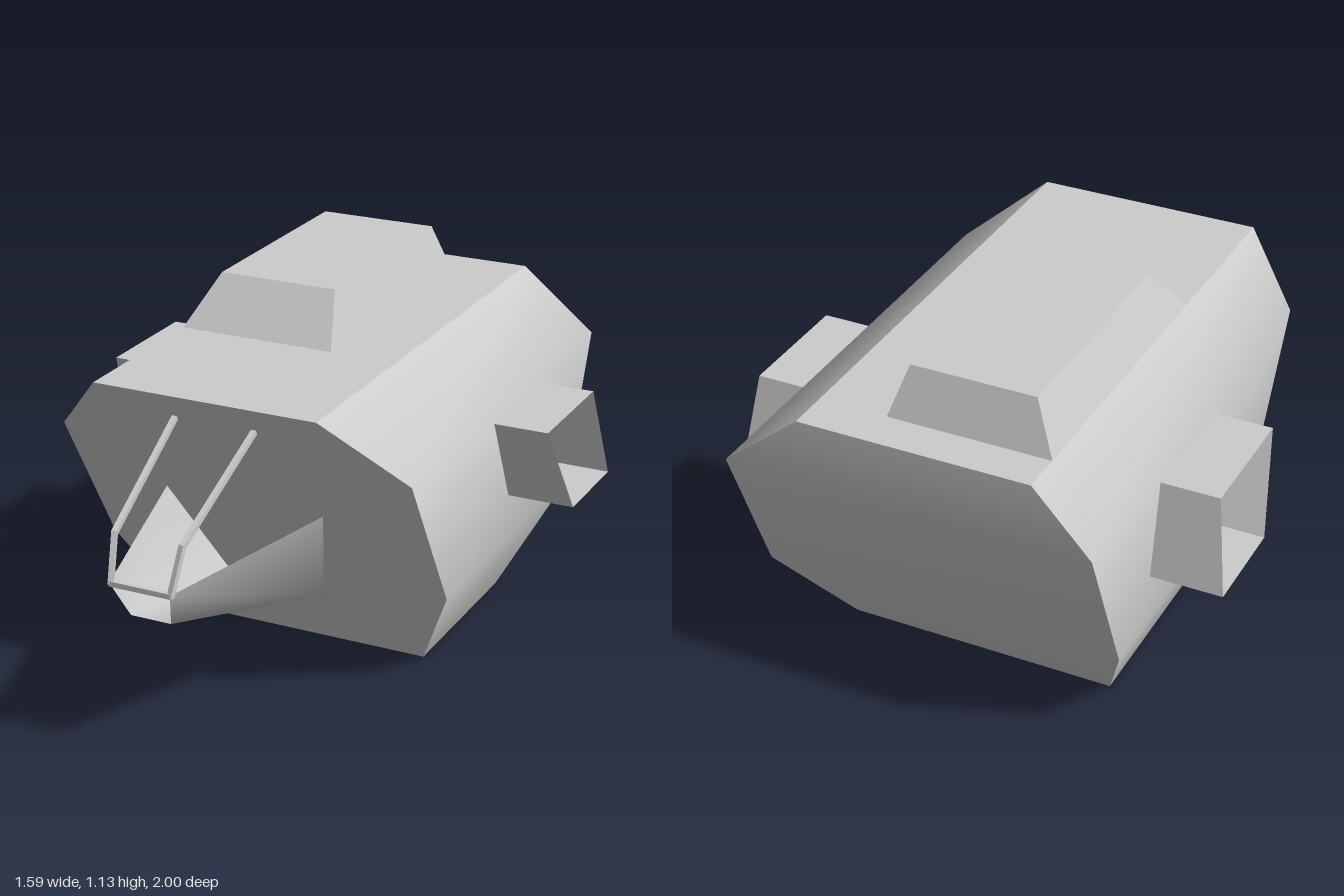
import * as THREE from 'three';

// Smooth surface through equal-length rows of [x, y, z] points
function grid(rows) {
  const n = rows[0].length, index = [];
  for (let r = 0; r < rows.length - 1; r++) {
    for (let c = 0; c < n - 1; c++) {
      const a = r * n + c, d = a + n;
      index.push(a, a + 1, d + 1, a, d + 1, d);
    }
  }
  const g = new THREE.BufferGeometry();
  g.setAttribute('position', new THREE.Float32BufferAttribute(rows.flat(2), 3));
  g.setIndex(index);
  g.computeVertexNormals();
  return g;
}

// Closed solid stacked from rectangles [y, xMin, xMax, zFront, zBack], smooth along each wall
function stackedHull(name, levels, material) {
  const group = new THREE.Group();
  group.name = name;
  const rings = levels.map(([y, x0, x1, zf, zb]) => [[x0, y, zf], [x1, y, zf], [x1, y, zb], [x0, y, zb]]);
  const add = (part, rows) => {
    const mesh = new THREE.Mesh(grid(rows), material);
    mesh.name = part;
    group.add(mesh);
  };
  ['frontWall', 'leftWall', 'backWall', 'rightWall'].forEach((part, i) =>
    add(part, rings.map(p => [p[i], p[(i + 1) % 4]])));
  const bottom = rings[0], top = rings[rings.length - 1];
  add('bottomFace', [[bottom[3], bottom[2]], [bottom[0], bottom[1]]]);
  add('topFace', [[top[0], top[1]], [top[3], top[2]]]);
  return group;
}

// Thin square rod between two points
function rod(a, b, material) {
  const from = new THREE.Vector3(...a), to = new THREE.Vector3(...b);
  const mesh = new THREE.Mesh(new THREE.BoxGeometry(0.016, 0.016, from.distanceTo(to) + 0.008), material);
  mesh.position.copy(from).lerp(to, 0.5);
  mesh.lookAt(to);
  mesh.name = 'bridleRod';
  return mesh;
}

export function createModel() {
  const model = new THREE.Group();
  model.name = 'model';
  const solid = new THREE.MeshStandardMaterial({ color: 0xcccccc });
  const thin = new THREE.MeshStandardMaterial({ color: 0xcccccc, side: THREE.DoubleSide });

  // Main body with a raked front and a rounded-off back
  model.add(stackedHull('body', [
    [0, -0.44, 0.43, 0.02, -0.58],
    [0.31, -0.57, 0.58, 0.203, -0.81],
    [0.78, -0.57, 0.58, 0.48, -1],
    [0.977, -0.39, 0.335, 0.597, -1],
  ], solid));

  // Raised block on the roof, set to one side
  model.add(stackedHull('roofBlock', [
    [0.977, -0.39, 0.12, 0.055, -0.87],
    [1.13, -0.32, 0.07, -0.075, -0.815],
  ], solid));

  // Side pods: four-sided ducts open at the outer end
  const section = [[0.755, -0.14], [0.755, -0.54], [0.465, -0.6], [0.465, -0.28], [0.755, -0.14]];
  for (const side of [1, -1]) {
    const inner = section.map(([y, z]) => [side * 0.57, y, z]);
    const outer = section.map(([y, z]) => [side * (y > 0.6 ? 0.754 : 0.796), y, z]);
    const geometry = grid(side > 0 ? [outer, inner] : [inner, outer]).toNonIndexed();
    geometry.computeVertexNormals();
    const pod = new THREE.Mesh(geometry, thin);
    pod.name = side > 0 ? 'leftPod' : 'rightPod';
    model.add(pod);
  }

  // Tapering chute, open at the top and at the tip
  const chute = new THREE.Mesh(grid([
    [[-0.285, 0.58, 0.36], [-0.17, 0.205, 0.14], [0.14, 0.205, 0.14], [0.245, 0.58, 0.36]],
    [[-0.115, 0.557, 0.995], [-0.08, 0.44, 0.94], [0.05, 0.44, 0.94], [0.08, 0.557, 0.995]],
  ]), thin);
  chute.name = 'chute';
  model.add(chute);

  // Wire bridle from the body down to the chute tip
  const bridle = new THREE.Group();
  bridle.name = 'bridle';
  const path = [
    [-0.147, 0.895, 0.54], [-0.125, 0.688, 0.94], [-0.112, 0.555, 0.99],
    [0.08, 0.555, 0.99], [0.092, 0.688, 0.94], [0.113, 0.895, 0.54],
  ];
  for (let i = 0; i < path.length - 1; i++) bridle.add(rod(path[i], path[i + 1], solid));
  model.add(bridle);

  return model;
}
